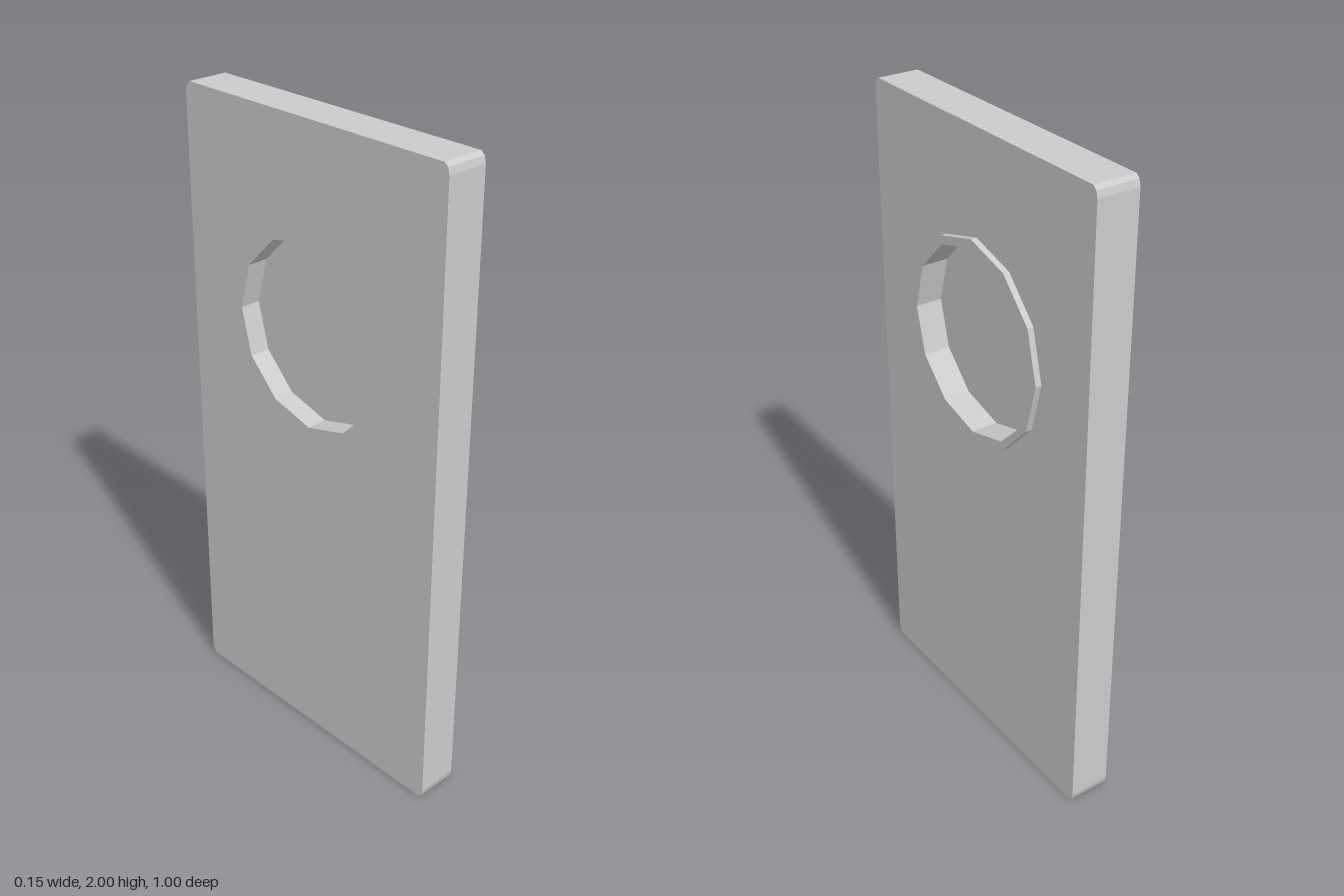
import * as THREE from 'three';

const SIDES = 12, CENTER_Y = 1.377;

// twelve-sided outline with separate radii across and upward
function ringPoints(rx, ry) {
  return Array.from({ length: SIDES }, (_, i) => {
    const a = (i / SIDES) * Math.PI * 2;
    return new THREE.Vector2(Math.cos(a) * rx, CENTER_Y + Math.sin(a) * ry);
  });
}

// slab outline with small faceted corners
function slabPoints() {
  const corner = [[0.5, 0.97], [0.495, 0.99], [0.483, 1]];
  const points = [];
  for (const [sx, sy] of [[1, 1], [-1, 1], [-1, -1], [1, -1]]) {
    const run = sx * sy > 0 ? corner : [...corner].reverse();
    for (const [x, y] of run) points.push(new THREE.Vector2(x * sx, 1 + y * sy));
  }
  return points;
}

export function createModel() {
  const group = new THREE.Group();
  const material = new THREE.MeshStandardMaterial({ color: 0xcccccc, flatShading: true, side: THREE.DoubleSide });
  const hole = ringPoints(0.285, 0.287);

  // extrudes an outline around the round opening, from x0 to x1
  function plate(name, outline, x0, x1) {
    const shape = new THREE.Shape(outline);
    shape.holes.push(new THREE.Path(hole));
    const geometry = new THREE.ExtrudeGeometry(shape, { depth: x1 - x0, bevelEnabled: false });
    geometry.translate(0, 0, x0).rotateY(Math.PI / 2);
    const mesh = new THREE.Mesh(geometry, material);
    mesh.name = name;
    group.add(mesh);
  }

  plate('slab', slabPoints(), -0.075, 0.055);
  plate('rim', ringPoints(0.3, 0.315), 0.055, 0.074);

  // recessed panel closing the opening
  const panel = new THREE.Mesh(new THREE.ShapeGeometry(new THREE.Shape(hole)), material);
  panel.geometry.rotateY(Math.PI / 2);
  panel.position.x = -0.01;
  panel.name = 'recessedPanel';
  group.add(panel);

  return group;
}
